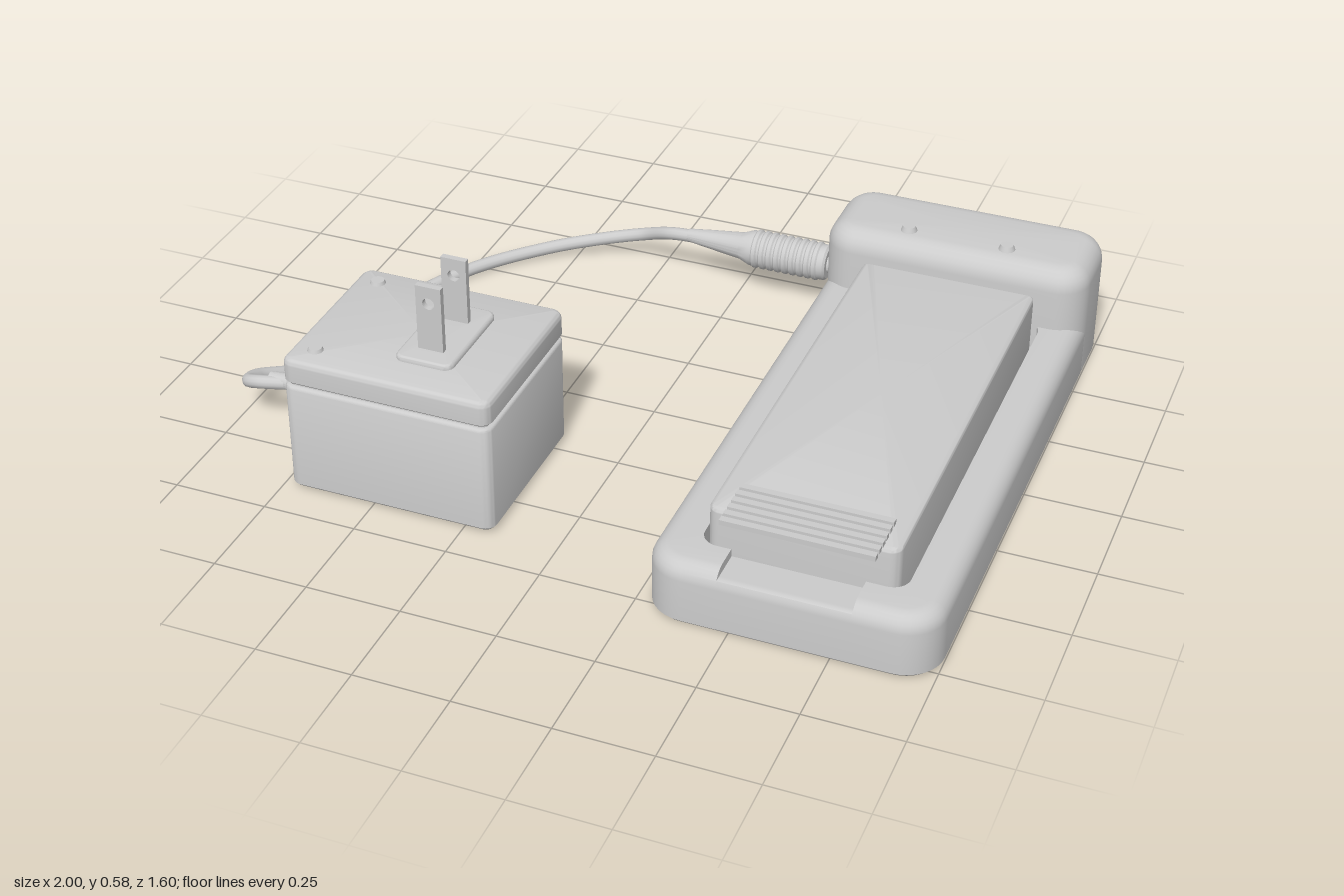
import * as THREE from 'three';
import { toCreasedNormals } from 'three/addons/utils/BufferGeometryUtils.js';

const grey = new THREE.MeshStandardMaterial({ color: 0xcccccc, side: THREE.DoubleSide });

function add(parent, name, geometry, x = 0, y = 0, z = 0) {
  const mesh = new THREE.Mesh(geometry, grey);
  mesh.name = name;
  mesh.position.set(x, y, z);
  parent.add(mesh);
  return mesh;
}

// Rounded rectangle ring; frontXs adds extra points along the front edge.
function ring([x0, x1, z0, z1], r, y, frontXs = []) {
  const pts = [], n = 8;
  const corners = [[x1 - r, z1 - r], [x0 + r, z1 - r], [x0 + r, z0 + r], [x1 - r, z0 + r]];
  corners.forEach(([cx, cz], k) => {
    for (let i = 0; i <= n; i++) {
      const a = (k + i / n) * Math.PI / 2;
      pts.push([cx + r * Math.cos(a), y, cz + r * Math.sin(a)]);
    }
    if (k === 0) frontXs.forEach(x => pts.push([x, y, z1]));
  });
  return pts;
}

// Skin a stack of rings and close both ends.
function loft(rings) {
  const n = rings[0].length, pos = rings.flat(2), idx = [];
  const last = rings.length - 1;
  for (let j = 0; j < last; j++) {
    for (let i = 0; i < n; i++) {
      const a = j * n + i, b = j * n + (i + 1) % n;
      idx.push(a, a + n, b, b, a + n, b + n);
    }
  }
  [rings[0], rings[last]].forEach((rg, end) => {
    const c = pos.length / 3, start = end * last * n;
    const mid = k => rg.reduce((s, p) => s + p[k], 0) / n;
    pos.push(mid(0), rg[0][1], mid(2));
    for (let i = 0; i < n; i++) {
      const p = start + i, q = start + (i + 1) % n;
      idx.push(c, ...(end ? [q, p] : [p, q]));
    }
  });
  const g = new THREE.BufferGeometry();
  g.setAttribute('position', new THREE.Float32BufferAttribute(pos, 3));
  g.setIndex(idx);
  return toCreasedNormals(g, 0.6);
}

const shrink = ([x0, x1, z0, z1], d) => [x0 + d, x1 - d, z0 + d, z1 - d];

// Rings of a box with rounded plan corners, a tiny bottom bevel and a filleted top.
function softRings(rect, r, y0, y1, fillet, bevel = 0.01, frontXs) {
  const rings = [ring(shrink(rect, bevel), r - bevel, y0, frontXs), ring(rect, r, y0 + bevel, frontXs)];
  for (let i = 0; i <= 6; i++) {
    const a = i / 6 * Math.PI / 2, d = fillet * (1 - Math.cos(a));
    rings.push(ring(shrink(rect, d), r - d, y1 - fillet * (1 - Math.sin(a)), frontXs));
  }
  return rings;
}
const softBox = (...args) => loft(softRings(...args));

// Round part along x from [x, radius] pairs.
function latheX(profile) {
  const g = new THREE.LatheGeometry(profile.map(([x, r]) => new THREE.Vector2(r, x)), 24);
  return toCreasedNormals(g.rotateZ(-Math.PI / 2), 0.5);
}

function button(parent, name, x, y, z) {
  add(parent, name, new THREE.CylinderGeometry(0.017, 0.023, 0.016, 20), x, y, z);
}

function createCharger() {
  const g = new THREE.Group();
  g.name = 'charger';

  // Cradle with a pocket and a shallow notch at the front
  const cut = [0.8, 0.799, 0.471, 0.47];
  const rings = softRings([0.28, 1, -0.68, 0.8], 0.1, 0, 0.17, 0.045, 0.01, cut);
  const pocket = [0.388, 0.895, -0.53, 0.695];
  rings.push(ring(pocket, 0.045, 0.17, cut), ring(pocket, 0.045, 0.08, cut));
  rings.forEach(rg => rg.forEach(p => {
    if (p[0] > 0.4705 && p[0] < 0.7995 && p[2] > 0.6) p[1] = Math.min(p[1], 0.15);
  }));
  // keep the pocket floor flat below the notch
  rings[rings.length - 1].forEach(p => { p[1] = 0.08; });
  add(g, 'cradle', loft(rings));

  // Raised rear housing with indicator lights
  add(g, 'rearHousing', softBox([0.28, 1, -0.8, -0.512], 0.085, 0, 0.34, 0.06));
  for (const x of [0.5, 0.77]) button(g, 'indicatorLight', x, 0.346, -0.592);

  // Battery pack and its grip ribs
  add(g, 'battery', softBox([0.4, 0.872, -0.53, 0.675], 0.03, 0.08, 0.26, 0.012));
  for (let i = 0; i < 6; i++) {
    add(g, 'gripRib', new THREE.BoxGeometry(0.38, 0.014, 0.018), 0.64, 0.267, 0.582 + i * 0.0278);
  }
  return g;
}

function createAdapter() {
  const g = new THREE.Group();
  g.name = 'adapter';
  const rect = [-0.73, -0.17, 0.18, 0.65];
  add(g, 'adapterBody', softBox(rect, 0.03, 0.005, 0.308, 0.008));
  add(g, 'adapterSeam', softBox(shrink(rect, 0.012), 0.02, 0.29, 0.33, 0.004, 0.004));
  add(g, 'adapterLid', softBox(rect, 0.03, 0.316, 0.386, 0.018, 0.006));
  add(g, 'prongPlate', softBox([-0.468, -0.314, 0.275, 0.552], 0.025, 0.38, 0.4, 0.008, 0.004));
  for (const z of [0.242, 0.583]) button(g, 'screw', -0.665, 0.387, z);

  // Flat prongs with a hole
  const blade = new THREE.Shape();
  blade.moveTo(-0.034, 0).lineTo(0.034, 0).lineTo(0.034, 0.185).lineTo(-0.034, 0.185).closePath();
  const hole = new THREE.Path();
  hole.absarc(0, 0.138, 0.016, 0, Math.PI * 2, true);
  blade.holes.push(hole);
  const prong = new THREE.ExtrudeGeometry(blade, { depth: 0.016, bevelEnabled: false, curveSegments: 16 });
  for (const z of [0.348, 0.491]) add(g, 'prong', prong, -0.391, 0.395, z - 0.008);
  return g;
}

function createCord() {
  const g = new THREE.Group();
  g.name = 'cord';
  const path = [
    [-0.86, 0.137, 0.415], [-0.93, 0.132, 0.428], [-0.972, 0.115, 0.41], [-0.978, 0.095, 0.355],
    [-0.93, 0.06, 0.26], [-0.875, 0.028, 0.16], [-0.852, 0.02, 0], [-0.845, 0.02, -0.2],
    [-0.74, 0.02, -0.45], [-0.58, 0.03, -0.62], [-0.45, 0.05, -0.69], [-0.32, 0.08, -0.718],
    [-0.21, 0.128, -0.678], [-0.1, 0.14, -0.667]
  ].map(p => new THREE.Vector3(...p));
  add(g, 'cable', new THREE.TubeGeometry(new THREE.CatmullRomCurve3(path), 140, 0.018, 12));

  // Strain relief at the adapter
  add(g, 'strainRelief', latheX([[-0.18, 0.018], [-0.1, 0.024], [0, 0.046]]), -0.725, 0.139, 0.41);

  // Ribbed plug at the charger
  const plug = [[-0.16, 0.018], [-0.1, 0.026], [0, 0.038], [0.03, 0.05]];
  for (let i = 0; i < 9; i++) {
    const x = 0.04 + i * 0.022;
    plug.push([x, 0.05], [x + 0.004, 0.054], [x + 0.013, 0.054], [x + 0.017, 0.05]);
  }
  plug.push([0.25, 0.05], [0.256, 0.044], [0.256, 0.027], [0.3, 0.027]);
  add(g, 'plug', latheX(plug), 0, 0.14, -0.668);
  return g;
}

export function createModel() {
  const model = new THREE.Group();
  model.name = 'batteryCharger';
  model.add(createCharger(), createAdapter(), createCord());
  return model;
}
